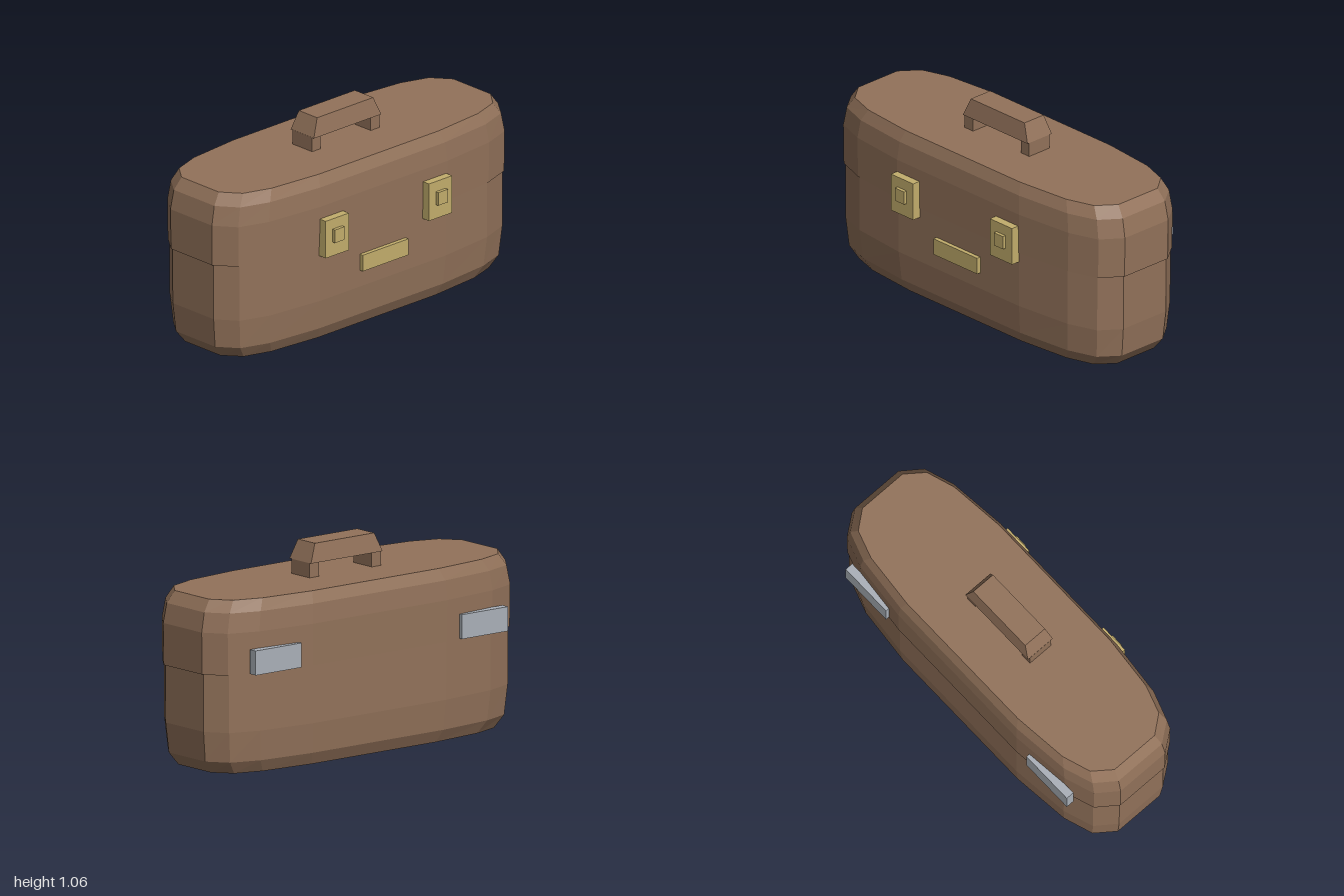
import * as THREE from 'three';

const mat = (name, color) => new THREE.MeshStandardMaterial({ name, color });

export function createModel() {
  const leather = mat('brown leather', 0x92725a);
  const brass = mat('brass', 0xc2ad6c);
  const steel = mat('steel', 0xaab0b8);
  for (const m of [leather, brass, steel]) m.flatShading = true;

  const group = new THREE.Group();
  const midZ = -0.025;

  const add = (name, geometry, material) => {
    const mesh = new THREE.Mesh(geometry, material);
    mesh.name = name;
    group.add(mesh);
    return mesh;
  };
  const box = (name, material, x0, x1, y0, y1, z0, z1) =>
    add(name, new THREE.BoxGeometry(x1 - x0, y1 - y0, z1 - z0), material)
      .position.set((x0 + x1) / 2, (y0 + y1) / 2, (z0 + z1) / 2);

  // One quarter of the rounded plan, mirrored into a closed outline
  const quarter = [[1, 0.15], [0.92, 0.257], [0.76, 0.312], [0.44, 0.345]];
  const back = [...quarter].reverse();
  const outline = [
    ...quarter,
    ...back.map(([x, z]) => [-x, z]),
    ...quarter.map(([x, z]) => [-x, -z]),
    ...back.map(([x, z]) => [x, -z]),
  ];

  // Capped shell through levels of [height, x scale, z scale]
  const shell = (levels) => {
    const n = outline.length;
    const pos = [];
    const index = [];
    for (const [y, sx, sz] of levels)
      for (const [x, z] of outline) pos.push(x * sx, y, z * sz + midZ);
    for (let l = 0; l < levels.length - 1; l++)
      for (let i = 0; i < n; i++) {
        const a = l * n + i, b = l * n + (i + 1) % n;
        index.push(a, a + n, b, b, a + n, b + n);
      }
    const top = (levels.length - 1) * n;
    for (let i = 1; i < n - 1; i++) {
      index.push(0, i, i + 1);
      index.push(top, top + i + 1, top + i);
    }
    const g = new THREE.BufferGeometry();
    g.setAttribute('position', new THREE.Float32BufferAttribute(pos, 3));
    g.setIndex(index);
    const flat = g.toNonIndexed();
    flat.computeVertexNormals();
    return flat;
  };

  // Case halves, the lid slightly overhanging the base
  add('base', shell([
    [0, 0.92, 0.85], [0.065, 0.97, 0.945], [0.22, 0.986, 0.985], [0.515, 0.988, 0.985],
  ]), leather);
  add('lid', shell([
    [0.515, 0.997, 0.995], [0.73, 1, 1], [0.83, 0.98, 0.975], [0.89, 0.938, 0.9],
  ]), leather);

  // Handle: two posts and a grip that narrows upward
  box('handlePostRight', leather, -0.235, -0.175, 0.885, 0.967, -0.094, 0.048);
  box('handlePostLeft', leather, 0.17, 0.23, 0.885, 0.967, -0.094, 0.048);
  const grip = new THREE.BoxGeometry(0.466, 0.096, 0.168);
  const p = grip.attributes.position;
  for (let i = 0; i < p.count; i++)
    if (p.getY(i) > 0) p.setXYZ(i, p.getX(i) * 0.83, p.getY(i), p.getZ(i) * 0.79);
  grip.computeVertexNormals();
  add('handleGrip', grip, leather).position.set(-0.002, 1.013, -0.023);

  // Latches with buttons in front, hinges behind
  for (const [side, x, hx] of [['Right', -0.36, -0.675], ['Left', 0.353, 0.67]]) {
    box('latch' + side, brass, x - 0.08, x + 0.08, 0.465, 0.665, 0.28, 0.362);
    box('latchButton' + side, brass, x - 0.033, x + 0.033, 0.54, 0.61, 0.35, 0.38);
    box('hinge' + side, steel, hx - 0.15, hx + 0.15, 0.52, 0.645, -0.38, -0.336);
  }
  box('namePlate', brass, -0.16, 0.155, 0.308, 0.395, 0.29, 0.337);

  return group;
}
